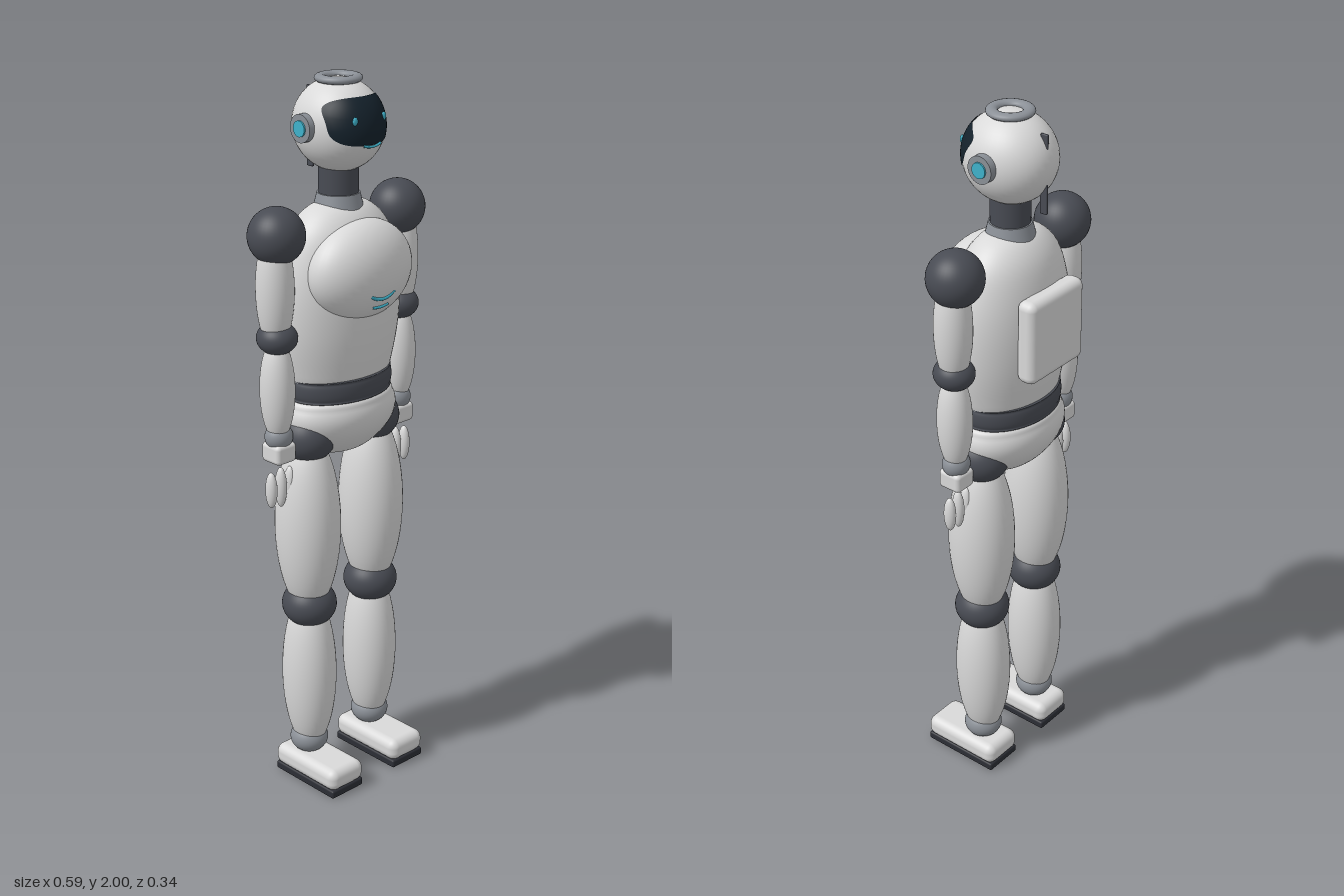
import * as THREE from 'three';
import { RoundedBoxGeometry } from 'three/addons/geometries/RoundedBoxGeometry.js';

const mat = (name, color, side = THREE.FrontSide) => {
  const m = new THREE.MeshStandardMaterial({ color, side });
  m.name = name;
  return m;
};

export function createModel() {
  const shell = mat('shellWhite', 0xd9d9d9);
  const grey = mat('metalGrey', 0x8b9097);
  const joint = mat('jointGraphite', 0x484b53);
  const sole = mat('soleBlack', 0x2c2e35);
  const glass = mat('visorGlass', 0x14212b, THREE.DoubleSide);
  const glow = mat('glowCyan', 0x3fb2cb);

  const Z = -0.01; // body axis
  const model = new THREE.Group();
  model.name = 'robot';

  const add = (parent, name, geo, material, x = 0, y = 0, z = 0) => {
    const m = new THREE.Mesh(geo, material);
    m.name = name;
    m.position.set(x, y, z);
    parent.add(m);
    return m;
  };
  const ball = (parent, name, material, x, y, z, rx, ry = rx, rz = rx) =>
    add(parent, name, new THREE.SphereGeometry(1, 40, 28).scale(rx, ry, rz), material, x, y, z);
  const box = (parent, name, material, x, y, z, w, h, d, r) =>
    add(parent, name, new RoundedBoxGeometry(w, h, d, 5, r), material, x, y, z);
  // Smooth profile turned around the body axis and squashed front to back
  const turned = (parent, name, material, pts, depth) => {
    const curve = new THREE.SplineCurve(pts.map(([r, y]) => new THREE.Vector2(r, y)));
    const profile = curve.getPoints(40).map(p => new THREE.Vector2(Math.max(p.x, 0), p.y));
    const geo = new THREE.LatheGeometry(profile, 56).scale(1, 1, depth);
    return add(parent, name, geo, material, 0, 0, Z);
  };
  // Upturned glowing line that bends back at its ends
  const smile = (parent, name, w, y, sag, z, bend, r) => {
    const curve = new THREE.QuadraticBezierCurve3(
      new THREE.Vector3(-w, y + sag, z - bend),
      new THREE.Vector3(0, y - sag, z + bend),
      new THREE.Vector3(w, y + sag, z - bend));
    return add(parent, name, new THREE.TubeGeometry(curve, 20, r, 8), glow);
  };

  // Head
  const head = new THREE.Group();
  head.name = 'head';
  model.add(head);
  const HY = 1.87, HR = [0.116, 0.122, 0.128];
  ball(head, 'skull', shell, 0, HY, Z, ...HR);
  add(head, 'crownRing', new THREE.TorusGeometry(0.047, 0.016, 14, 48).rotateX(Math.PI / 2).scale(1, 0.65, 1),
    grey, 0, 1.989, Z);
  box(head, 'rearFin', joint, 0, 1.848, -0.117, 0.008, 0.214, 0.022, 0.003);

  // Visor: rounded rectangle laid on the skull
  const onSkull = (x, y) =>
    HR[2] * 1.018 * Math.sqrt(Math.max(0, 1 - (x / HR[0] / 1.018) ** 2 - (y / HR[1] / 1.018) ** 2));
  const visor = new THREE.RingGeometry(0.001, 1, 72, 12);
  const p = visor.attributes.position;
  const soft = v => Math.sign(v) * Math.abs(v) ** 0.6;
  for (let i = 0; i < p.count; i++) {
    const r = Math.hypot(p.getX(i), p.getY(i));
    const x = 0.102 * r * soft(p.getX(i) / r);
    const y = 0.025 + 0.06 * r * soft(p.getY(i) / r);
    p.setXYZ(i, x, y, onSkull(x, y));
  }
  visor.computeVertexNormals();
  add(head, 'visor', visor, glass, 0, HY, Z);
  smile(head, 'mouthLight', 0.03, 1.831, 0.005, 0.116, 0.003, 0.0035);

  // Neck and torso
  add(model, 'neck', new THREE.CylinderGeometry(0.053, 0.053, 0.12, 40), joint, 0, 1.74, Z);
  add(model, 'collar', new THREE.CylinderGeometry(0.057, 0.068, 0.045, 40), grey, 0, 1.67, Z);
  turned(model, 'torso', shell, [[0, 1.16], [0.1, 1.162], [0.15, 1.185], [0.17, 1.24], [0.187, 1.33], [0.191, 1.43],
    [0.18, 1.52], [0.152, 1.6], [0.105, 1.65], [0.05, 1.672], [0, 1.675]], 0.68);
  ball(model, 'chestPlate', shell, 0, 1.5, 0.07, 0.168, 0.135, 0.099);
  smile(model, 'chestLight', 0.042, 1.438, 0.014, 0.158, 0.003, 0.005);
  smile(model, 'chestLightLower', 0.028, 1.413, 0.003, 0.147, 0.001, 0.004);
  box(model, 'backpack', shell, 0, 1.422, -0.142, 0.22, 0.235, 0.058, 0.022);
  turned(model, 'waistBelt', joint, [[0, 1.143], [0.145, 1.145], [0.16, 1.155], [0.164, 1.177],
    [0.16, 1.2], [0.145, 1.21], [0, 1.212]], 0.72);
  turned(model, 'pelvis', shell, [[0, 0.98], [0.075, 0.984], [0.125, 1.01], [0.165, 1.05], [0.18, 1.09],
    [0.172, 1.125], [0.145, 1.15], [0, 1.156]], 0.69);

  // Paired parts, left (+x) and right (-x)
  for (const s of [1, -1]) {
    const side = s > 0 ? 'left' : 'right';

    const ear = add(head, side + 'Ear', new THREE.CylinderGeometry(0.037, 0.037, 0.03, 36).rotateZ(Math.PI / 2),
      grey, s * 0.114, 1.875, -0.016);
    add(ear, 'earLight', new THREE.CylinderGeometry(0.021, 0.021, 0.008, 28).rotateZ(Math.PI / 2), glow, s * 0.0155);
    ball(head, side + 'Eye', glow, s * 0.05, 1.9, Z + onSkull(0.05, 0.03), 0.008, 0.011, 0.005);

    const arm = new THREE.Group();
    arm.name = side + 'Arm';
    model.add(arm);
    ball(arm, 'shoulder', joint, s * 0.218, 1.614, Z, 0.076);
    ball(arm, 'upperArm', shell, s * 0.227, 1.475, -0.008, 0.051, 0.165, 0.051);
    ball(arm, 'elbow', joint, s * 0.224, 1.343, -0.006, 0.054, 0.044, 0.056);
    ball(arm, 'forearm', shell, s * 0.225, 1.2, -0.006, 0.046, 0.145, 0.049);
    ball(arm, 'wrist', grey, s * 0.222, 1.068, -0.006, 0.039, 0.037, 0.037);
    box(arm, 'hand', shell, s * 0.222, 1.025, -0.006, 0.068, 0.055, 0.07, 0.012);
    [0.184, 0.217, 0.251].forEach((x, i) =>
      ball(arm, 'finger' + (i + 1), shell, s * x, 0.92, -0.006, 0.015, i === 1 ? 0.057 : 0.051, 0.018));

    const leg = new THREE.Group();
    leg.name = side + 'Leg';
    model.add(leg);
    ball(leg, 'hip', joint, s * 0.12, 1.043, -0.006, 0.077, 0.072, 0.08);
    ball(leg, 'thigh', shell, s * 0.12, 0.785, -0.006, 0.088, 0.265, 0.095);
    ball(leg, 'knee', joint, s * 0.118, 0.543, -0.004, 0.076, 0.066, 0.077);
    ball(leg, 'shin', shell, s * 0.118, 0.33, -0.006, 0.073, 0.245, 0.081);
    ball(leg, 'ankle', grey, s * 0.12, 0.118, -0.006, 0.054, 0.045, 0.054);
    box(leg, 'foot', shell, s * 0.12, 0.051, 0.036, 0.126, 0.064, 0.246, 0.025);
    box(leg, 'sole', sole, s * 0.12, 0.012, 0.036, 0.118, 0.024, 0.238, 0.006);
  }
  return model;
}
